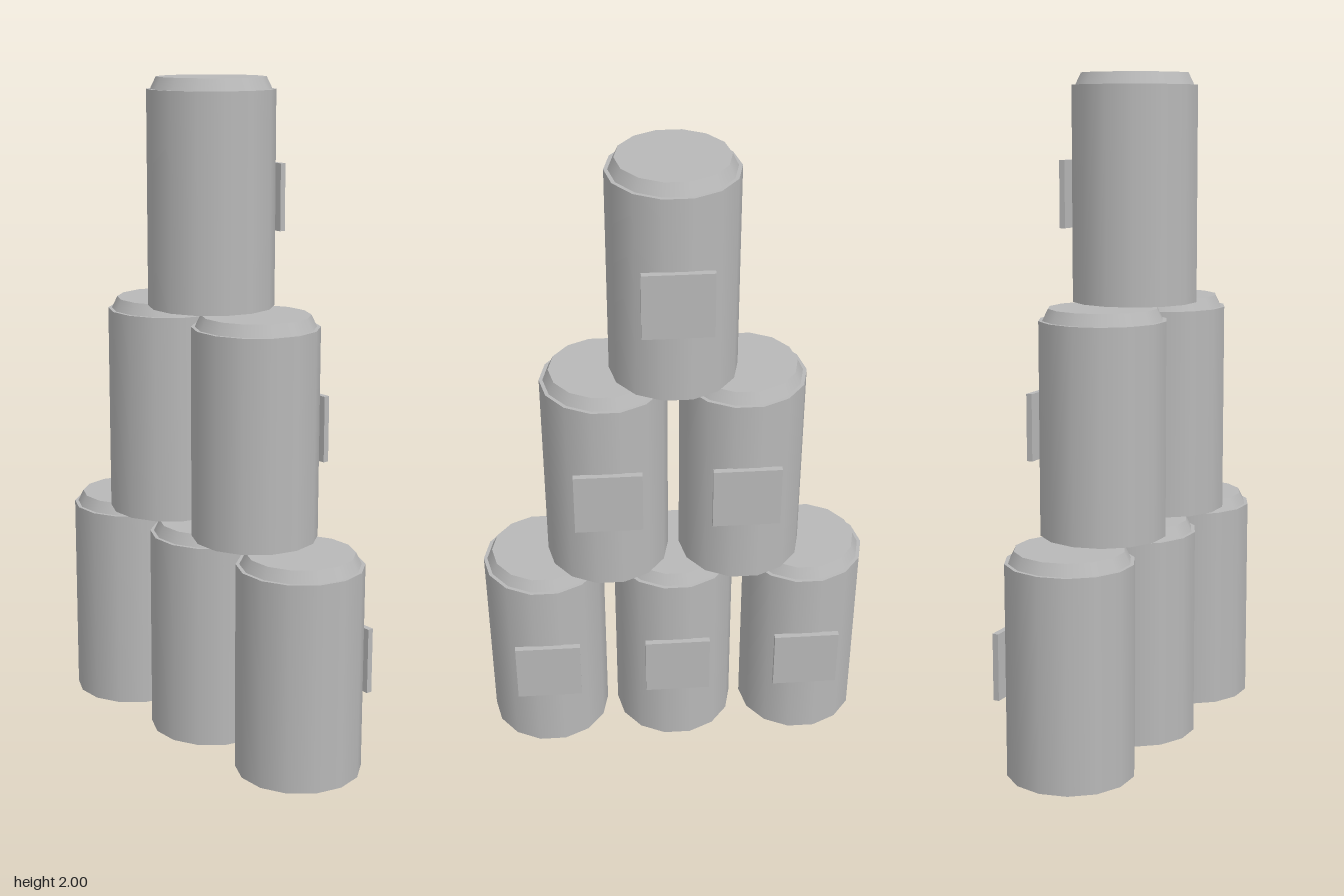
import * as THREE from 'three';

const SIDES = 14;
const CAN_HEIGHT = 0.667;
const BODY_HEIGHT = 0.632;

export function createModel() {
  const grey = new THREE.MeshStandardMaterial({ color: 0xb8b8b8 });
  grey.name = 'plain grey';

  // Corners on the x axis put flat faces at the front and back
  const drum = (top, bottom, height) =>
    new THREE.CylinderGeometry(top, bottom, height, SIDES, 1, false, Math.PI / 2)
      .translate(0, height / 2, 0);

  const bodyGeometry = drum(0.188, 0.188, BODY_HEIGHT);
  const lidGeometry = drum(0.16, 0.177, CAN_HEIGHT - BODY_HEIGHT);
  const plateGeometry = new THREE.BoxGeometry(0.203, 0.2, 0.018);

  const addPart = (parent, name, geometry, y, z) => {
    const mesh = new THREE.Mesh(geometry, grey);
    mesh.name = name;
    mesh.position.set(0, y, z);
    parent.add(mesh);
  };

  // One can: body, bevelled lid and square plate on the back
  const makeCan = () => {
    const can = new THREE.Group();
    addPart(can, 'body', bodyGeometry, 0, 0.008);
    addPart(can, 'lid', lidGeometry, BODY_HEIGHT, 0.008);
    addPart(can, 'backPlate', plateGeometry, 0.315, -0.182);
    return can;
  };

  // Pyramid of three, two and one
  const model = new THREE.Group();
  model.name = 'canPyramid';
  for (let row = 0; row < 3; row++) {
    const count = 3 - row;
    for (let i = 0; i < count; i++) {
      const can = makeCan();
      can.name = `canRow${row + 1}Number${i + 1}`;
      can.position.set((i - (count - 1) / 2) * 0.41, row * CAN_HEIGHT, 0);
      model.add(can);
    }
  }
  return model;
}
